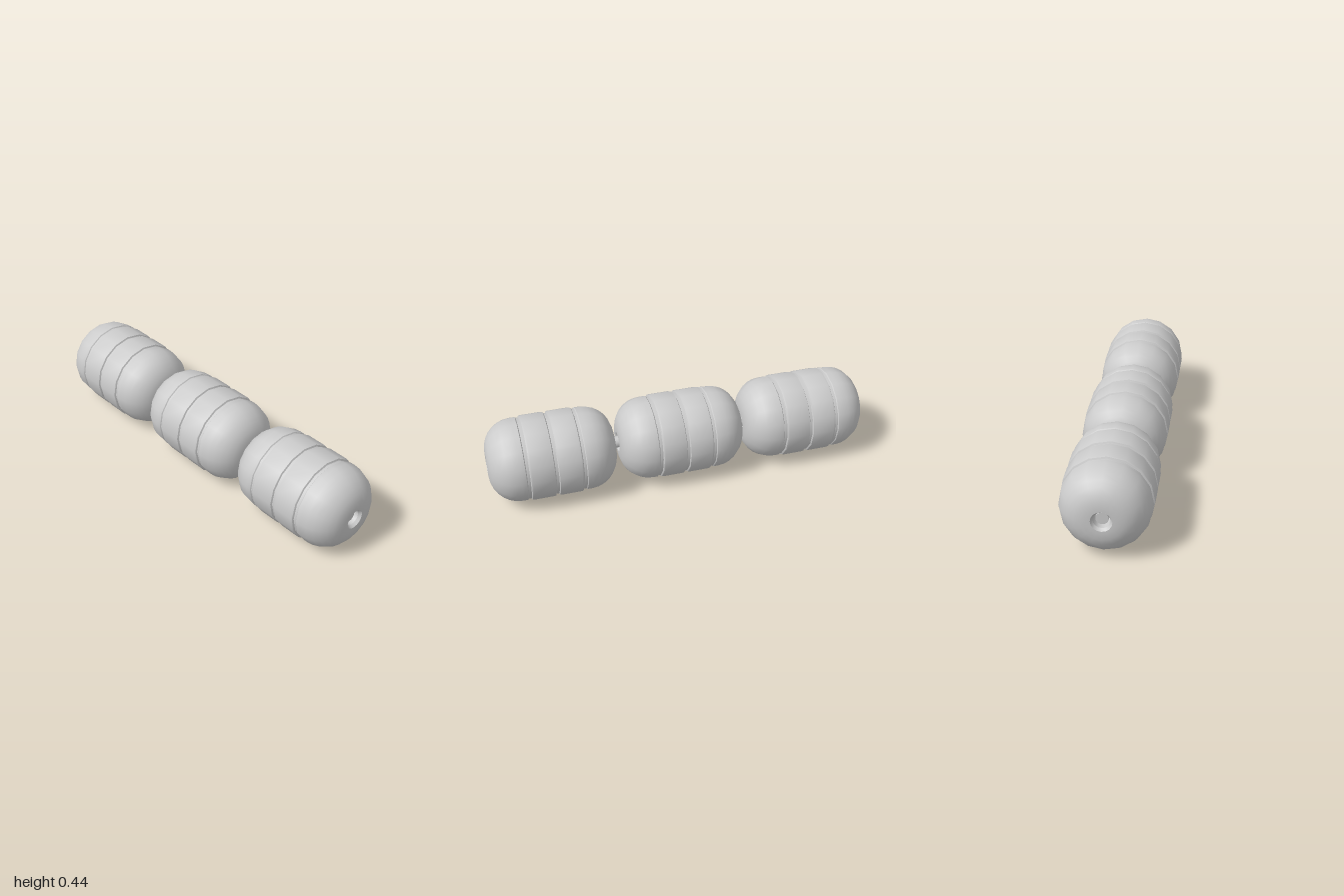
import * as THREE from 'three';
import { toCreasedNormals } from 'three/addons/utils/BufferGeometryUtils.js';

const R = 0.22;          // float radius
const HALF = 0.3275;     // half the length of one float
const SIDES = 16;
const AXIS_Y = R;

// Closed profile of one float: (radius, position along the axis)
function floatProfile() {
  const p = [];
  const add = (r, t) => p.push(new THREE.Vector2(r, t));
  const capR = 0.215, round = 0.15;

  // bore and its chamfered lower rim
  add(0.04, HALF - 0.015);
  add(0.04, -HALF + 0.015);
  add(0.05, -HALF);

  // lower rounded cap
  const steps = 7;
  for (let i = 0; i <= steps; i++) {
    const a = (i / steps) * Math.PI / 2;
    add(capR - round + round * Math.sin(a), -HALF + round * (1 - Math.cos(a)));
  }

  // three narrow grooves around the barrel
  [-0.142, 0, 0.142].forEach((t, i) => {
    const w = 0.007, bevel = 0.004, depth = 0.01;
    add(i === 0 ? capR : R - 0.002, t - w - bevel);
    add(R - depth, t - w);
    add(R - depth, t + w);
    add(i === 2 ? capR : R - 0.002, t + w + bevel);
    if (i < 2) {
      add(R, t + w + 0.012);
      add(R, t + 0.142 - w - 0.012);
    }
  });

  // upper rounded cap and rim
  for (let i = steps; i >= 0; i--) {
    const a = (i / steps) * Math.PI / 2;
    add(capR - round + round * Math.sin(a), HALF - round * (1 - Math.cos(a)));
  }
  add(0.05, HALF);
  add(0.04, HALF - 0.015);
  return p;
}

export function createModel() {
  const model = new THREE.Group();
  model.name = 'floatLine';
  const material = new THREE.MeshStandardMaterial({ color: 0xcccccc });

  // three identical floats in a row along x
  const lathe = new THREE.LatheGeometry(floatProfile(), SIDES);
  lathe.rotateZ(-Math.PI / 2);
  const floatGeometry = toCreasedNormals(lathe, 0.55);
  [-0.6725, -0.0045, 0.6725].forEach((x, i) => {
    const float = new THREE.Mesh(floatGeometry, material);
    float.name = ['rightFloat', 'middleFloat', 'leftFloat'][i];
    float.position.set(x, AXIS_Y, 0);
    model.add(float);
  });

  // rope threaded through the bores
  const ropeGeometry = new THREE.CylinderGeometry(0.03, 0.03, 1.94, SIDES);
  ropeGeometry.rotateZ(-Math.PI / 2);
  const rope = new THREE.Mesh(ropeGeometry, material);
  rope.name = 'rope';
  rope.position.y = AXIS_Y;
  model.add(rope);

  return model;
}
